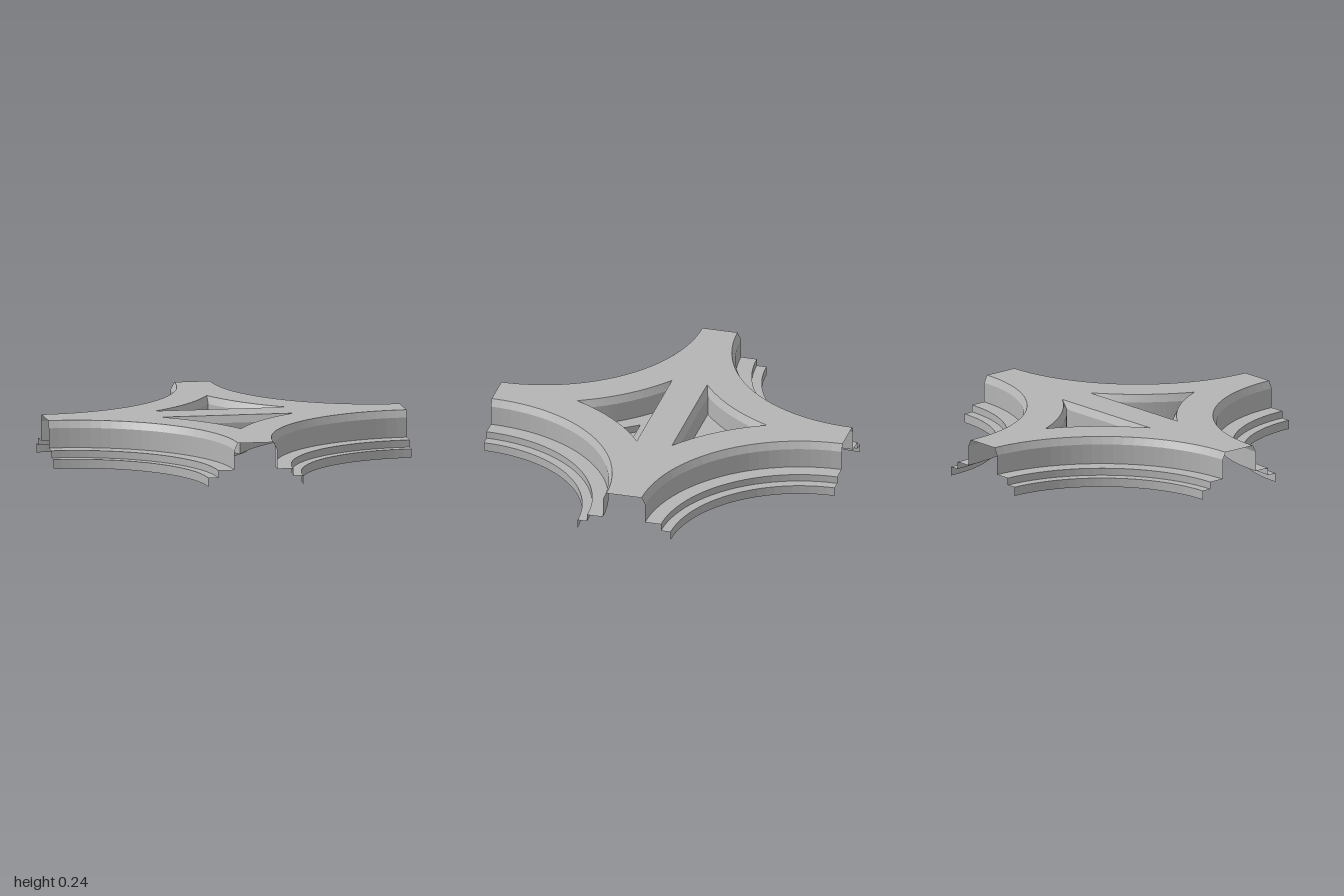
import * as THREE from 'three';

const SEG = 24;

// Points of an arc about the corner (cx, 1), as [x, z] pairs
function arc(cx, r, a0, a1, n = SEG) {
  return Array.from({ length: n + 1 }, (_, i) => {
    const a = a0 + (a1 - a0) * i / n;
    return [cx + r * Math.cos(a), 1 + r * Math.sin(a)];
  });
}

// Ribbon of quads from one line of points to the next one
function strip(a, ya, b, yb) {
  const pos = [];
  for (let i = 0; i < a.length - 1; i++) {
    const A = [a[i][0], ya, a[i][1]], B = [b[i][0], yb, b[i][1]];
    const C = [a[i + 1][0], ya, a[i + 1][1]], D = [b[i + 1][0], yb, b[i + 1][1]];
    pos.push(...A, ...B, ...C, ...B, ...D, ...C);
  }
  const g = new THREE.BufferGeometry();
  g.setAttribute('position', new THREE.Float32BufferAttribute(pos, 3));
  g.computeVertexNormals();
  return g;
}

// Horizontal sheet at height y, facing up, with optional holes
function sheet(points, y, holes = []) {
  const v = p => p.map(([x, z]) => new THREE.Vector2(x, -z));
  const shape = new THREE.Shape(v(points));
  holes.forEach(h => shape.holes.push(new THREE.Path(v(h))));
  return new THREE.ShapeGeometry(shape).rotateX(-Math.PI / 2).translate(0, y, 0);
}

// Closed three-sided loop: one straight side at z0, two concave arcs
function wellLoop(r, z0) {
  const half = Math.asin((1 - z0) / r);
  const start = Math.PI + half, apex = Math.PI + Math.asin(Math.sqrt(r * r - 1) / r);
  const tip = Math.PI + Math.acos(1 / r);
  const right = arc(1, r, start, Math.min(apex, tip), 16);
  const left = right.map(([x, z]) => [-x, z]).reverse();
  return [left[left.length - 1], ...right, ...left.slice(1)];
}

export function createModel() {
  const group = new THREE.Group();
  const grey = new THREE.MeshStandardMaterial({ color: 0xb4b4b4 });
  grey.name = 'stone grey';
  grey.side = THREE.DoubleSide;
  grey.flatShading = true;
  const add = (parent, name, geometry) => {
    const m = new THREE.Mesh(geometry, grey);
    m.name = name;
    parent.add(m);
  };

  // Stepped rim, swept round each of the four concave corners: [radius, y]
  const profile = [[0.9, 0.24], [0.88, 0.2], [0.88, 0.09], [0.79, 0.09], [0.79, 0.05], [0.735, 0.05], [0.735, 0]];
  const names = ['bevel', 'wall', 'upperStep', 'upperRiser', 'lowerStep', 'lowerRiser'];
  const edge = r => arc(1, r, Math.PI, Math.PI * 1.5);
  for (let k = 0; k < 4; k++) {
    const rim = new THREE.Group();
    rim.name = 'cornerRim' + (k + 1);
    rim.rotation.y = k * Math.PI / 2;
    names.forEach((n, i) => {
      const [r0, y0] = profile[i], [r1, y1] = profile[i + 1];
      add(rim, n, strip(edge(r0), y0, edge(r1), y1));
    });
    group.add(rim);
  }

  // Two sunken wells with a small pit in each floor
  const topLoop = wellLoop(1.1, 0.1), lowLoop = wellLoop(1.12, 0.12);
  const pit = [[-0.09, 0.205], [0.09, 0.205], [0, 0.33]];
  const pitLoop = [...pit, pit[0]];
  for (let k = 0; k < 2; k++) {
    const well = new THREE.Group();
    well.name = k ? 'backWell' : 'frontWell';
    well.rotation.y = k * Math.PI;
    add(well, 'wellBevel', strip(topLoop, 0.24, lowLoop, 0.2));
    add(well, 'wellWall', strip(lowLoop, 0.2, lowLoop, 0.09));
    add(well, 'wellFloor', sheet(lowLoop.slice(0, -1), 0.09, [pit]));
    add(well, 'pitWall', strip(pitLoop, 0.09, pitLoop, 0.05));
    add(well, 'pitFloor', sheet(pit, 0.05));
    group.add(well);
  }

  // Top deck with four concave corners and the two well openings
  const corner = edge(0.9), outline = [];
  for (let k = 0; k < 4; k++) {
    const c = Math.round(Math.cos(k * Math.PI / 2)), s = Math.round(Math.sin(k * Math.PI / 2));
    corner.forEach(([x, z]) => outline.push([c * x + s * z, -s * x + c * z]));
  }
  const hole = topLoop.slice(0, -1);
  add(group, 'deck', sheet(outline, 0.24, [hole, hole.map(([x, z]) => [-x, -z])]));

  return group;
}
